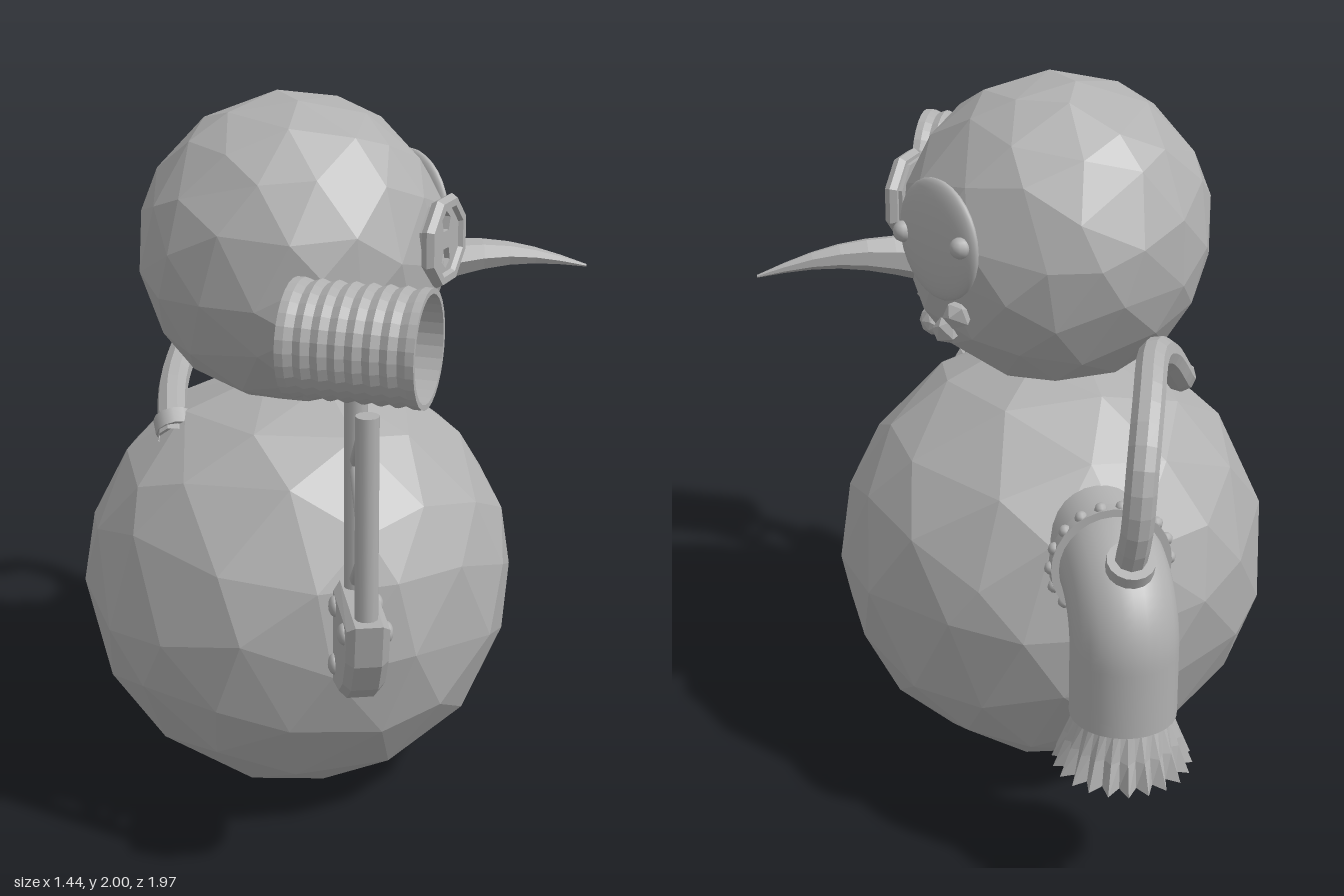
import * as THREE from 'three';

const V = (x, y, z) => new THREE.Vector3(x, y, z);
const grey = new THREE.MeshStandardMaterial({ color: 0xb0b0b0, side: THREE.DoubleSide });
grey.name = 'plain grey';

// faceted normals for the low-poly parts
function flat(geo) {
  const g = geo.index ? geo.toNonIndexed() : geo;
  g.computeVertexNormals();
  return g;
}

function add(parent, name, geo, pos) {
  const m = new THREE.Mesh(geo, grey);
  m.name = name;
  if (pos) m.position.copy(pos);
  parent.add(m);
  return m;
}

// straight round bar between two points
function rod(parent, name, a, b, r, sides = 10) {
  const d = b.clone().sub(a);
  const m = add(parent, name, new THREE.CylinderGeometry(r, r, d.length(), sides), a.clone().add(b).multiplyScalar(0.5));
  m.quaternion.setFromUnitVectors(V(0, 1, 0), d.normalize());
  return m;
}

// faceted ball with corners nudged along its surface
function facetedBall(r, detail, nudge, seed) {
  const g = new THREE.IcosahedronGeometry(1, detail);
  g.rotateX(seed).rotateZ(seed * 0.7);
  const p = g.attributes.position, v = V(0, 0, 0);
  for (let i = 0; i < p.count; i++) {
    v.fromBufferAttribute(p, i);
    const { x, y, z } = v;
    v.x += nudge * Math.sin(7 * y + 11 * z + seed);
    v.y += nudge * Math.sin(9 * z + 8 * x + 2 * seed);
    v.z += nudge * Math.sin(10 * x + 7 * y + 3 * seed);
    v.normalize().multiplyScalar(r);
    p.setXYZ(i, v.x, v.y, v.z);
  }
  return flat(g);
}

function polygon(Type, n, r, cx = 0, cy = 0, turn = 0) {
  const pts = [];
  for (let i = 0; i < n; i++) {
    const a = turn + (i / n) * Math.PI * 2;
    pts.push(new THREE.Vector2(cx + r * Math.cos(a), cy + r * Math.sin(a)));
  }
  return new Type(pts);
}

// group whose +z points along the given normal
function facing(parent, name, pos, normal) {
  const g = new THREE.Group();
  g.name = name;
  g.lookAt(normal);
  g.position.copy(pos);
  parent.add(g);
  return g;
}

function buildFace(root) {
  const C = V(-0.115, 1.575, 0.01);

  // bent, tapering nose
  const nose = new THREE.CylinderGeometry(0.004, 0.065, 0.45, 7, 6);
  nose.rotateZ(-Math.PI / 2).translate(0.225, 0, 0);
  const p = nose.attributes.position;
  for (let i = 0; i < p.count; i++) {
    const t = p.getX(i) / 0.45;
    p.setY(i, p.getY(i) + 0.03 * Math.sin(Math.PI * t) - 0.025 * t);
  }
  add(root, 'nose', flat(nose), V(0.265, 1.515, 0.005));

  // eight-sided button eye with two five-sided holes
  const button = facing(root, 'buttonEye', V(0.258, 1.63, 0.2), V(0.84, 0, 0.54));
  const disc = polygon(THREE.Shape, 8, 0.108, 0, 0, Math.PI / 8);
  disc.holes.push(polygon(THREE.Path, 5, 0.03, 0, 0.052, 0.3), polygon(THREE.Path, 5, 0.03, 0, -0.045, 0.9));
  add(button, 'buttonDisc', new THREE.ExtrudeGeometry(disc, { depth: 0.035, bevelEnabled: false }), V(0, 0, -0.015));
  add(button, 'buttonRim', flat(new THREE.TorusGeometry(0.109, 0.021, 6, 8)), V(0, 0, 0.014)).rotation.z = Math.PI / 8;

  // large domed eye with two knobs
  const lens = facing(root, 'domedEye', V(0.247, 1.63, -0.19), V(0.88, 0, -0.46));
  add(lens, 'dome', new THREE.SphereGeometry(0.166, 32, 16)).scale.z = 0.22;
  [[-0.125, -0.005], [0.125, 0.015]].forEach(([x, y]) =>
    add(lens, 'domeKnob', new THREE.SphereGeometry(0.029, 10, 8), V(x, y, 0.025)));

  // mouth lumps resting on the head
  [[1.43, 0.255], [1.35, 0.16], [1.325, 0.01], [1.35, -0.13], [1.43, -0.23]].forEach(([y, z], i) => {
    const x = C.x + Math.sqrt(0.425 ** 2 - (y - C.y) ** 2 - (z - C.z) ** 2);
    const lump = add(root, 'mouthLump', facetedBall(0.043, i === 2 ? 1 : 0, 0.12, i + 1), V(x, y, z));
    lump.scale.set(1, 0.95, i === 2 ? 1.25 : 1);
  });
}

function buildFrontArm(root) {
  const x = -0.035;
  const arm = new THREE.Group();
  arm.name = 'frontArm';
  root.add(arm);

  // bevelled bracket
  const outline = [[0.65, 0.55], [0.79, 0.58], [0.87, 0.64], [0.925, 0.73], [0.95, 0.85], [0.65, 0.85]];
  const bracket = new THREE.ExtrudeGeometry(new THREE.Shape(outline.map(q => new THREE.Vector2(...q))),
    { depth: 0.07, bevelSize: 0.02, bevelThickness: 0.02, bevelOffset: -0.02, bevelSegments: 1 });
  add(arm, 'bracket', flat(bracket.rotateY(-Math.PI / 2)));
  [[0.87, 0.8], [0.7, 0.8], [0.69, 0.63]].forEach(([z, y]) => [-1, 1].forEach(s => {
    add(arm, 'bracketBolt', new THREE.SphereGeometry(0.028, 12, 8), V(x + s * 0.055, y, z)).scale.x = 0.6;
  }));

  // pegs into the body, each with a collar
  [0.775, 0.63].forEach(y => {
    rod(arm, 'peg', V(x, y, 0.5), V(x, y, 0.66), 0.03, 8);
    rod(arm, 'pegCollar', V(x, y, 0.585), V(x, y, 0.635), 0.038, 8);
  });

  // rails and zigzag lattice
  [0.89, 0.69].forEach(z => rod(arm, 'rail', V(x, 0.84, z), V(x, 1.385, z), 0.03, 12));
  const nodes = [[0.885, 1.365], [0.695, 1.19], [0.885, 1.03], [0.695, 0.865]].map(([z, y]) => V(x, y, z));
  for (let i = 0; i < 3; i++) rod(arm, 'latticeBar', nodes[i], nodes[i + 1], 0.019, 8);

  // ribbed can, open at both ends
  const profile = [];
  for (let i = 0; i <= 16; i++) {
    const ribbed = i > 1 && i < 15 && i % 2 === 0;
    profile.push(new THREE.Vector2(ribbed ? 0.141 : 0.149, -0.173 + 0.346 * i / 16));
  }
  profile.push(new THREE.Vector2(0.135, 0.173), new THREE.Vector2(0.135, -0.173), profile[0].clone());
  const can = add(arm, 'ribbedCan', flat(new THREE.LatheGeometry(profile, 28)), V(-0.037, 1.535, 0.782));
  can.quaternion.setFromUnitVectors(V(0, 1, 0), V(0.315, 0, 0.145).normalize());
}

function buildBackPipe(root) {
  const x = -0.125;
  const pipe = new THREE.Group();
  pipe.name = 'backPipe';
  root.add(pipe);

  // elbow: straight, quarter bend, straight
  const path = new THREE.CurvePath();
  path.add(new THREE.LineCurve3(V(x, 0.86, -0.42), V(x, 0.86, -0.64)));
  path.add(new THREE.CubicBezierCurve3(V(x, 0.86, -0.64), V(x, 0.86, -0.728), V(x, 0.788, -0.8), V(x, 0.7, -0.8)));
  path.add(new THREE.LineCurve3(V(x, 0.7, -0.8), V(x, 0.51, -0.8)));
  add(pipe, 'elbow', new THREE.TubeGeometry(path, 40, 0.142, 28, false));
  rod(pipe, 'pipeEnd', V(x, 0.51, -0.8), V(x, 0.515, -0.8), 0.142, 28);

  // studded collar
  rod(pipe, 'collar', V(x, 0.86, -0.615), V(x, 0.86, -0.65), 0.163, 28);
  for (let i = 0; i < 18; i++) {
    const a = (i / 18) * Math.PI * 2;
    add(pipe, 'collarStud', new THREE.SphereGeometry(0.018, 8, 6),
      V(x + 0.16 * Math.cos(a), 0.86 + 0.16 * Math.sin(a), -0.632));
  }

  // pleated skirt flaring at the bottom
  const skirt = new THREE.CylinderGeometry(0.125, 0.18, 0.155, 44, 2, true);
  const p = skirt.attributes.position;
  for (let i = 0; i < p.count; i++) {
    const t = 0.5 - p.getY(i) / 0.155;
    const s = (i % 45) % 2 ? 1 + 0.04 * t : 1 - 0.13 * t;
    p.setXYZ(i, p.getX(i) * s, p.getY(i) + (s < 1 ? 0.01 * t : 0), p.getZ(i) * s);
  }
  add(pipe, 'pleatedSkirt', flat(skirt), V(x, 0.437, -0.8));

  // hose arching from the elbow to the shoulder
  const hose = new THREE.CatmullRomCurve3([
    V(x, 0.93, -0.82), V(-0.127, 1.08, -0.89), V(-0.14, 1.24, -0.88), V(-0.18, 1.365, -0.77), V(-0.235, 1.42, -0.6),
    V(-0.31, 1.36, -0.44), V(-0.4, 1.22, -0.27), V(-0.45, 1.15, -0.1), V(-0.465, 1.06, 0.1)]);
  add(pipe, 'hose', flat(new THREE.TubeGeometry(hose, 28, 0.042, 9, false)));
  rod(pipe, 'hoseFlange', V(x, 0.945, -0.835), V(x, 0.978, -0.85), 0.063, 16);
  rod(pipe, 'shoulderFlange', V(-0.455, 1.07, 0.07), V(-0.46, 1.1, 0.035), 0.056, 12);
}

export function createModel() {
  const root = new THREE.Group();
  root.name = 'figure';
  add(root, 'body', facetedBall(0.618, 2, 0.06, 1.3), V(-0.105, 0.605, 0));
  add(root, 'head', facetedBall(0.432, 2, 0.06, 2.6), V(-0.115, 1.572, 0.01));
  buildFace(root);
  buildFrontArm(root);
  buildBackPipe(root);
  return root;
}
